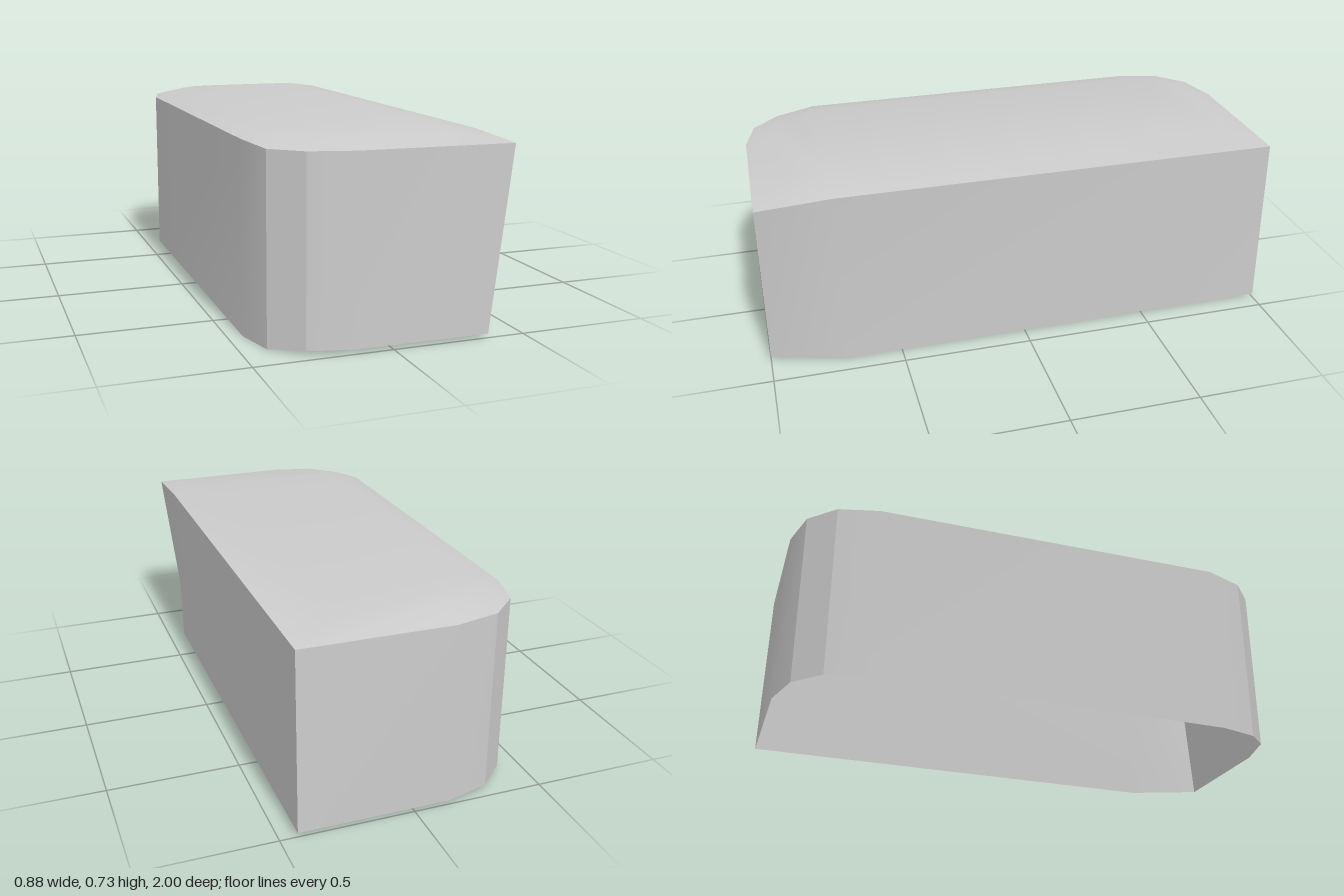
import * as THREE from 'three';
import { toCreasedNormals } from 'three/addons/utils/BufferGeometryUtils.js';

// Stations counter-clockwise from the back left corner:
// rim [x, y, z], foot [x, y, z], edge of the raised roof [x, y, z]
const stations = [
  [[0.435, 0.70, -0.99], [0.435, 0.015, -1], [0.27, 0.73, -0.87]],
  [[-0.13, 0.70, -0.995], [-0.13, 0.015, -1], [-0.15, 0.73, -0.87]],
  [[-0.30, 0.70, -0.955], [-0.30, 0.015, -0.955], [-0.23, 0.73, -0.85]],
  [[-0.405, 0.70, -0.855], [-0.405, 0.015, -0.855], [-0.29, 0.73, -0.80]],
  [[-0.445, 0.70, -0.70], [-0.445, 0.013, -0.70], [-0.33, 0.73, -0.70]],
  [[-0.445, 0.70, 0.70], [-0.445, 0, 0.70], [-0.33, 0.73, 0.72]],
  [[-0.405, 0.687, 0.855], [-0.405, 0, 0.855], [-0.30, 0.718, 0.80]],
  [[-0.30, 0.688, 0.955], [-0.30, 0.015, 0.955], [-0.23, 0.716, 0.85]],
  [[-0.14, 0.688, 0.995], [-0.14, 0.015, 0.995], [-0.15, 0.715, 0.87]],
  [[0.44, 0.685, 1], [0.36, 0.015, 1], [0.25, 0.715, 0.87]],
  [[0.437, 0.70, 0.72], [0.43, 0.003, 0.72], [0.27, 0.73, 0.72]],
];

const material = new THREE.MeshStandardMaterial({ color: 0xcccccc, side: THREE.DoubleSide });

function makeMesh(name, triangles) {
  const geometry = new THREE.BufferGeometry();
  geometry.setAttribute('position', new THREE.Float32BufferAttribute(triangles.flat(2), 3));
  const mesh = new THREE.Mesh(toCreasedNormals(geometry, THREE.MathUtils.degToRad(25)), material);
  mesh.name = name;
  return mesh;
}

const quad = (a, b, c, d) => [[a, b, c], [a, c, d]];

export function createModel() {
  const group = new THREE.Group();
  group.name = 'openShell';
  const walls = [];
  const roof = [];

  // Walls below the rim and the sloped border of the roof
  stations.forEach(([rim, foot, edge], i) => {
    const [nextRim, nextFoot, nextEdge] = stations[(i + 1) % stations.length];
    walls.push(...quad(foot, nextFoot, nextRim, rim));
    roof.push(...quad(rim, nextRim, nextEdge, edge));
  });

  // Flat middle of the roof, then the panel dipping towards the front
  const edges = stations.map((s) => s[2]);
  const fan = (loop) => {
    for (let i = 1; i < loop.length - 1; i++) roof.push([loop[0], loop[i], loop[i + 1]]);
  };
  fan([...edges.slice(0, 6), edges[10]]);
  fan([edges[10], ...edges.slice(5, 10)]);

  group.add(makeMesh('walls', walls), makeMesh('roof', roof));
  return group;
}
